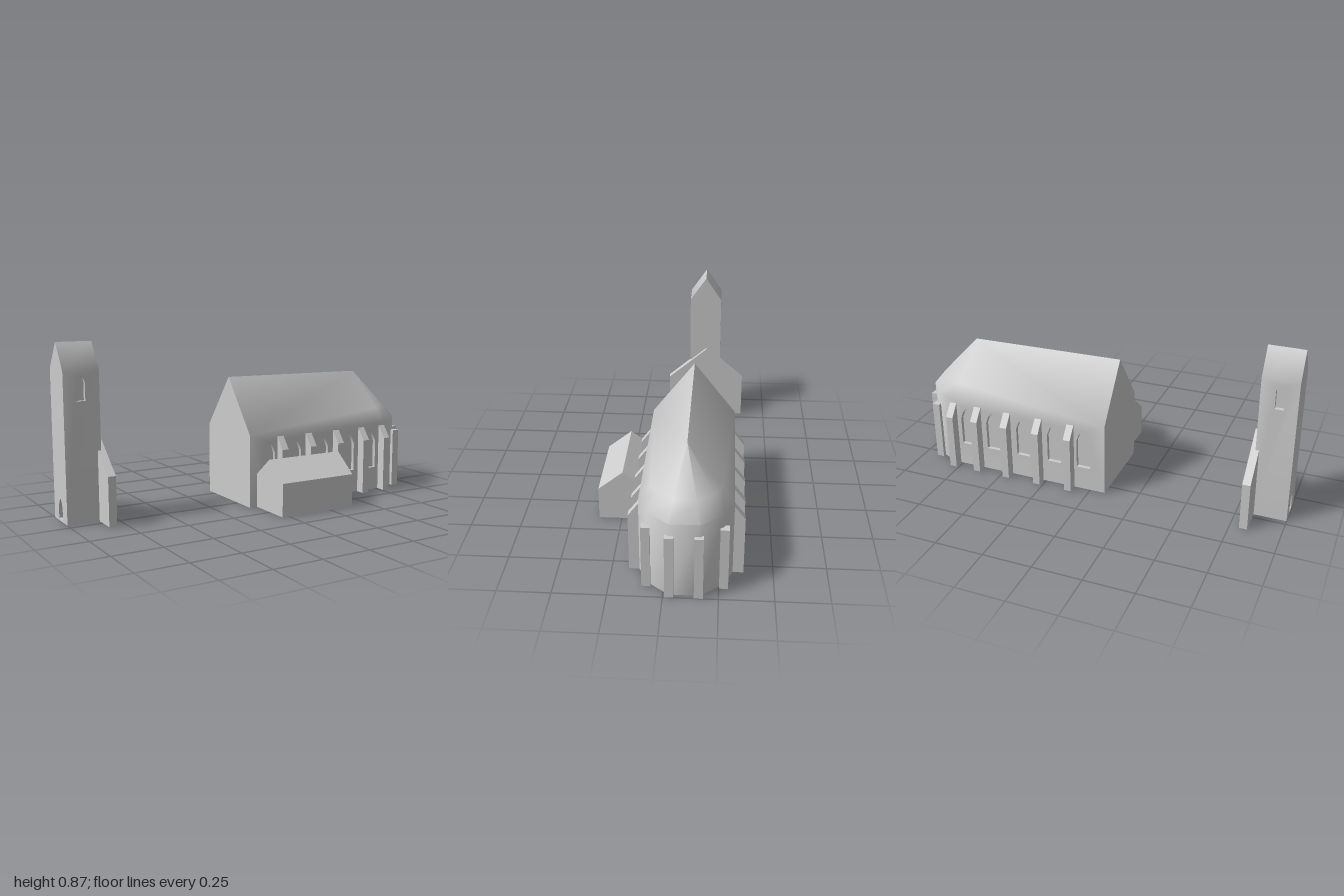
import * as THREE from 'three';
import { toCreasedNormals } from 'three/addons/utils/BufferGeometryUtils.js';

const RECESS = 0.02;
const stone = new THREE.MeshStandardMaterial({ color: 0xcccccc });
stone.name = 'pale stone';

const P = (x, y, z) => new THREE.Vector3(x, y, z);

// Collects faces into one softly creased surface
class Shell {
  constructor() { this.pos = []; }
  fan(...pts) {
    for (let i = 1; i < pts.length - 1; i++) {
      for (const p of [pts[0], pts[i], pts[i + 1]]) this.pos.push(p.x, p.y, p.z);
    }
  }
  // Flat wall with recessed openings; map turns (u, v, depth) into space
  wall(outline, holes, map) {
    const contour = outline.map(([u, v]) => new THREE.Vector2(u, v));
    const cuts = holes.map((h) => h.map(([u, v]) => new THREE.Vector2(u, v)).reverse());
    const all = [contour, ...cuts].flat();
    for (const tri of THREE.ShapeUtils.triangulateShape(contour, cuts)) {
      this.fan(...tri.map((i) => map(all[i].x, all[i].y, 0)));
    }
    for (const h of holes) {
      h.forEach(([u, v], i) => {
        const [s, t] = h[(i + 1) % h.length];
        this.fan(map(u, v, 0), map(s, t, 0), map(s, t, RECESS), map(u, v, RECESS));
      });
      this.fan(...h.map(([u, v]) => map(u, v, RECESS)));
    }
  }
  mesh(name) {
    const g = new THREE.BufferGeometry();
    g.setAttribute('position', new THREE.Float32BufferAttribute(this.pos, 3));
    const m = new THREE.Mesh(toCreasedNormals(g, THREE.MathUtils.degToRad(48)), stone);
    m.name = name;
    return m;
  }
}

const rect = (u0, u1, v0, v1) => [[u0, v0], [u1, v0], [u1, v1], [u0, v1]];

// Pointed arch opening, counter-clockwise
function arch(c, half, base, spring, top) {
  const shoulder = spring + (top - spring) * 0.62;
  return [[c - half, base], [c + half, base], [c + half, spring], [c + half * 0.6, shoulder],
    [c, top], [c - half * 0.6, shoulder], [c - half, spring]];
}

// Solid with a (z, y) profile running from x0 to x1
function prism(name, profile, x0, x1) {
  const shape = new THREE.Shape(profile.map(([z, y]) => new THREE.Vector2(z, y)));
  const g = new THREE.ExtrudeGeometry(shape, { depth: x1 - x0, bevelEnabled: false });
  g.rotateY(-Math.PI / 2).translate(x1, 0, 0);
  const m = new THREE.Mesh(g, stone);
  m.name = name;
  return m;
}

function gable(c, half, eave, top) {
  return [[c - half, 0], [c + half, 0], [c + half, eave], [c, top], [c - half, eave]];
}

function buildTower() {
  const s = new Shell();
  const x0 = -1, x1 = -0.82, c = -0.132, h = 0.0905, eave = 0.742, top = 0.873;
  const slit = (u) => arch(u, 0.022, 0.596, 0.69, 0.718);
  s.wall(rect(x0, x1, 0, eave), [slit(-0.914)], (u, v, d) => P(u, v, c + h - d));
  s.wall(rect(-x1, -x0, 0, eave), [slit(0.914)], (u, v, d) => P(-u, v, c - h + d));
  s.wall(gable(c, h, eave, top), [arch(c, 0.027, 0.012, 0.07, 0.115)], (u, v, d) => P(x0 + d, v, u));
  s.wall(gable(-c, h, eave, top), [], (u, v) => P(x1, v, -u));
  s.fan(P(x0, eave, c + h), P(x1, eave, c + h), P(x1, top, c), P(x0, top, c));
  s.fan(P(x1, eave, c - h), P(x0, eave, c - h), P(x0, top, c), P(x1, top, c));
  s.wall(rect(x0, x1, c - h, c + h), [], (u, v) => P(u, 0, v));
  return s.mesh('tower');
}

function buildNave() {
  const s = new Shell();
  const west = -0.08, east = 0.8, c = -0.096, h = 0.217, eave = 0.38, top = 0.66;
  const apex = P(0.74, 0.65, c), ridge = P(west, top, c);
  const centres = [0.036, 0.2, 0.377, 0.553, 0.703];
  const window = (u) => arch(u, 0.037, 0.125, 0.275, 0.338);

  // Side walls, west gable
  s.wall(rect(west, east, 0, eave), centres.map(window), (u, v, d) => P(u, v, c + h - d));
  s.wall(rect(-east, -west, 0, eave), centres.map((u) => window(-u)), (u, v, d) => P(-u, v, c - h + d));
  s.wall(gable(c, h, eave, top), [], (u, v) => P(west, v, u));

  // Apse walls and rounded hip roof
  const half = [[east, h], [0.898, 0.171], [0.98, 0.07]];
  const plan = [...half, ...half.map(([x, z]) => [x, -z]).reverse()];
  const rim = plan.map(([x, z]) => P(x, eave, c + z));
  const mid = rim.map((p, i) => {
    const m = p.clone().lerp(apex, 0.26);
    if (i > 0 && i < rim.length - 1) m.y += 0.008;
    return m;
  });
  for (let i = 0; i < rim.length - 1; i++) {
    const a = rim[i], b = rim[i + 1];
    s.fan(P(a.x, 0, a.z), P(b.x, 0, b.z), b, a);
    s.fan(a, b, mid[i + 1], mid[i]);
    s.fan(mid[i], mid[i + 1], apex);
  }

  // Long roof slopes
  s.fan(P(west, eave, c + h), rim[0], mid[0], apex, ridge);
  const n = rim.length - 1;
  s.fan(P(west, eave, c - h), ridge, apex, mid[n], rim[n]);

  // Underside
  const base = [[west, h], ...plan, [west, -h]].map(([x, z]) => [x, c + z]).reverse();
  s.wall(base, [], (u, v) => P(u, 0, v));
  return s.mesh('nave');
}

export function createModel() {
  const group = new THREE.Group();
  group.name = 'ruinedChurch';
  group.add(buildTower(), buildNave());

  // Gabled wall remnant against the tower
  group.add(prism('towerWall', gable(-0.139, 0.222, 0.245, 0.433), -0.837, -0.797));

  // Side chapel
  group.add(prism('sideChapel', gable(0.24, 0.125, 0.17, 0.27), -0.037, 0.393));

  // Sloped buttresses on both long sides
  for (const x of [0.107, 0.285, 0.465, 0.638, 0.782]) {
    group.add(prism('frontButtress', [[0.1, 0], [0.17, 0], [0.17, 0.295], [0.121, 0.36], [0.1, 0.36]], x - 0.019, x + 0.019));
    group.add(prism('backButtress', [[-0.363, 0], [-0.292, 0], [-0.292, 0.36], [-0.313, 0.36], [-0.363, 0.295]], x - 0.019, x + 0.019));
  }

  // Square piers around the apse
  for (const [x, z] of [[0.905, 0.08], [0.98, -0.029], [0.98, -0.161], [0.905, -0.272]]) {
    const pier = new THREE.Mesh(new THREE.BoxGeometry(0.04, 0.318, 0.041).translate(x, 0.159, z), stone);
    pier.name = 'apsePier';
    group.add(pier);
  }
  return group;
}
